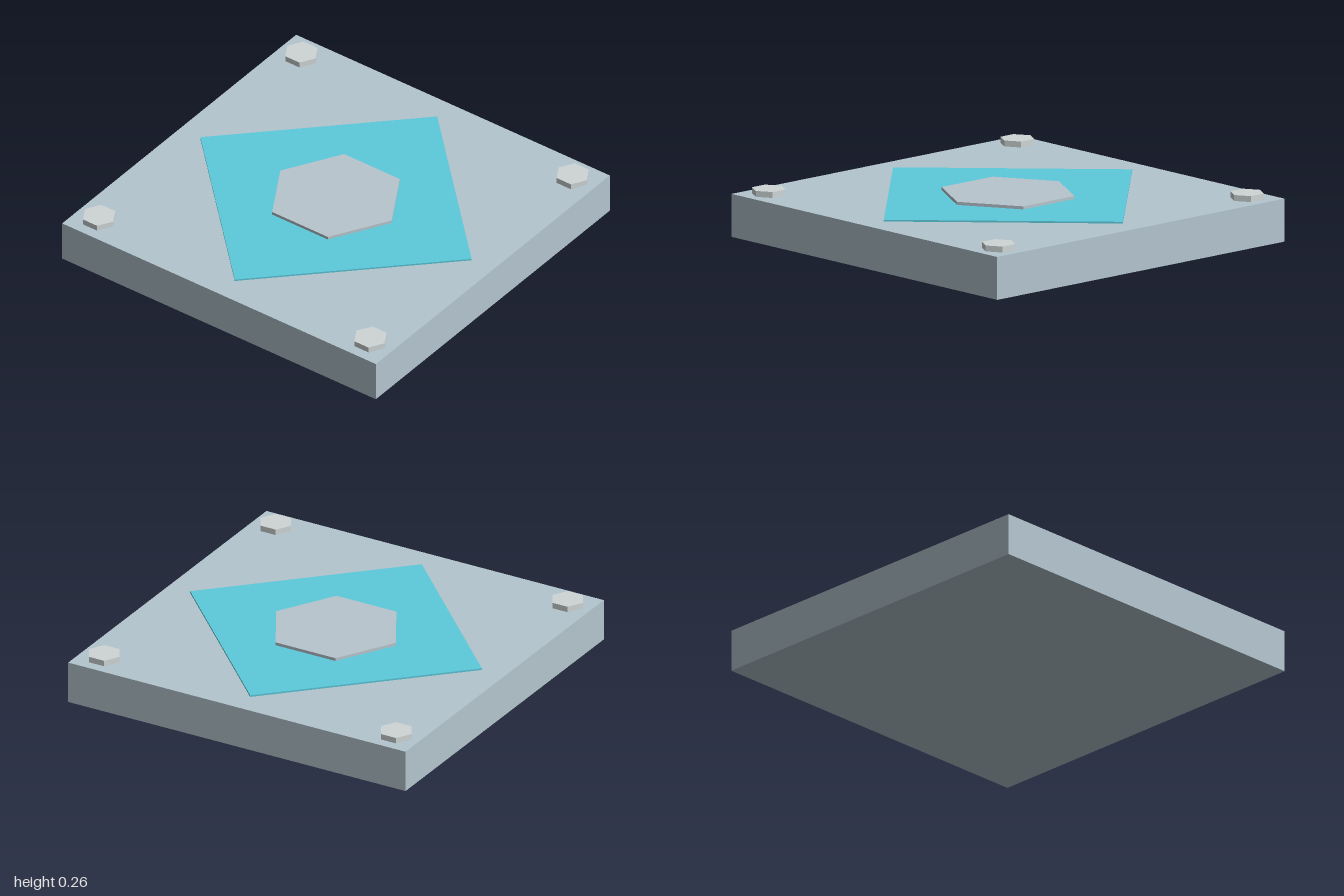
import * as THREE from 'three';

const material = (color) => new THREE.MeshStandardMaterial({ color, flatShading: true });

// Flat prism with a corner pointing along +z, standing on height y0
function prism(name, sides, radius, y0, y1, mat) {
  const mesh = new THREE.Mesh(new THREE.CylinderGeometry(radius, radius, y1 - y0, sides), mat);
  mesh.position.y = (y0 + y1) / 2;
  mesh.name = name;
  return mesh;
}

export function createModel() {
  const model = new THREE.Group();
  model.name = 'floorTile';
  const top = 0.225;

  // Square slab
  const slab = new THREE.Mesh(new THREE.BoxGeometry(2, top, 2), material(0xb4c6cf));
  slab.position.y = top / 2;
  slab.name = 'slab';
  model.add(slab);

  // Diamond inlay with a raised hexagon in its middle
  model.add(prism('diamondInlay', 4, 0.865, top - 0.01, 0.234, material(0x5ccadb)));
  model.add(prism('centreHexagon', 6, 0.355, top - 0.01, 0.25, material(0xb8c6ce)));

  // Hexagonal bolt heads at the corners
  const boltMaterial = material(0xcfd6d6);
  for (const x of [-1, 1]) {
    for (const z of [-1, 1]) {
      const bolt = prism('cornerBolt', 6, 0.09, top - 0.01, 0.256, boltMaterial);
      bolt.position.x = x * 0.865;
      bolt.position.z = z * 0.865;
      model.add(bolt);
    }
  }
  return model;
}
